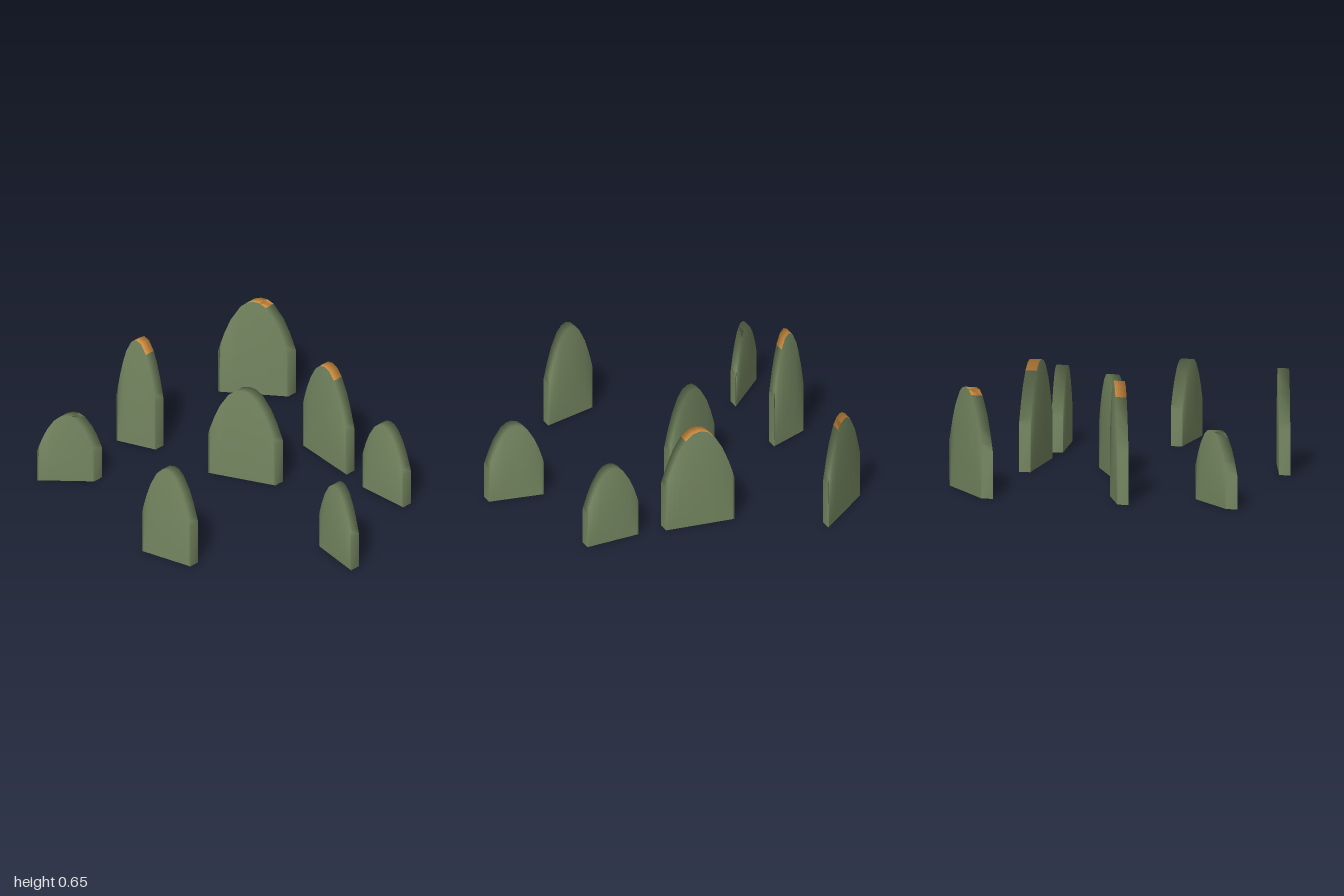
import * as THREE from 'three';

// Front edge of each slab on the ground (ax, az -> bx, bz), height,
// and the half-extent of the coloured crest (0 = none)
const SLABS = [
  { name: 'backSlab', a: [-0.072, -0.89], b: [0.302, -0.853], h: 0.572, crest: 0.36 },
  { name: 'tallSlab', a: [-0.592, -0.366], b: [-0.382, -0.28], h: 0.65, crest: 0.5 },
  { name: 'centreSlab', a: [-0.094, -0.052], b: [0.268, 0.066], h: 0.546, crest: 0 },
  { name: 'leftBackSlab', a: [0.398, -0.355], b: [0.642, -0.06], h: 0.576, crest: 0.42 },
  { name: 'leftSlab', a: [0.73, 0.062], b: [0.955, 0.266], h: 0.445, crest: 0 },
  { name: 'rightSlab', a: [-1, 0.06], b: [-0.695, 0.06], h: 0.403, crest: 0 },
  { name: 'rightFrontSlab', a: [-0.414, 0.767], b: [-0.152, 0.917], h: 0.55, crest: 0 },
  { name: 'leftFrontSlab', a: [0.524, 0.682], b: [0.703, 0.925], h: 0.446, crest: 0 },
];
const DEPTH = [0.04, -0.045]; // shared offset from front face to back face

const green = new THREE.MeshStandardMaterial({ color: 0x748660 });
const orange = new THREE.MeshStandardMaterial({ color: 0xf0a54a });

// Arched slab with a sheared footprint
function slabGeometry({ a, b, h, crest }) {
  const m = crest || 0.4;
  const half = [m / 2, m, 0.65, 0.82, 0.94, 1];
  const us = [...half.map((u) => -u).reverse(), 0, ...half];
  const n = us.length;
  const pos = [];
  const body = [];
  const cap = [];

  const point = (u, y, back) => {
    const t = (u + 1) / 2;
    pos.push(
      a[0] + (b[0] - a[0]) * t + (back ? DEPTH[0] : 0),
      y,
      a[1] + (b[1] - a[1]) * t + (back ? DEPTH[1] : 0),
    );
  };
  const quad = (list, p, q, r, s) => list.push(p, q, r, p, r, s);

  // Each column: front bottom, front top, back bottom, back top
  for (const u of us) {
    const top = h * (1 - 0.55 * Math.pow(Math.abs(u), 2.2));
    point(u, 0, false);
    point(u, top, false);
    point(u, 0, true);
    point(u, top, true);
  }
  for (let i = 0; i < n - 1; i++) {
    const c = i * 4;
    const d = c + 4;
    quad(body, c, d, d + 1, c + 1); // front face
    quad(body, d + 2, c + 2, c + 3, d + 3); // back face
    const onCrest = Math.abs((us[i] + us[i + 1]) / 2) < crest;
    quad(onCrest ? cap : body, c + 1, d + 1, d + 3, c + 3); // rim
  }
  // Upright ends
  const e = (n - 1) * 4;
  quad(body, 2, 0, 1, 3);
  quad(body, e, e + 2, e + 3, e + 1);
  // Flat base with its own corners, so its edge stays sharp
  const k = n * 4;
  point(-1, 0, false);
  point(1, 0, false);
  point(1, 0, true);
  point(-1, 0, true);
  quad(body, k, k + 3, k + 2, k + 1);

  const geo = new THREE.BufferGeometry();
  geo.setAttribute('position', new THREE.Float32BufferAttribute(pos, 3));
  geo.setIndex([...body, ...cap]);
  geo.addGroup(0, body.length, 0);
  if (cap.length) geo.addGroup(body.length, cap.length, 1);
  geo.computeVertexNormals();
  return geo;
}

export function createModel() {
  const model = new THREE.Group();
  model.name = 'standingSlabs';
  for (const slab of SLABS) {
    const mesh = new THREE.Mesh(slabGeometry(slab), [green, orange]);
    mesh.name = slab.name;
    model.add(mesh);
  }
  return model;
}
